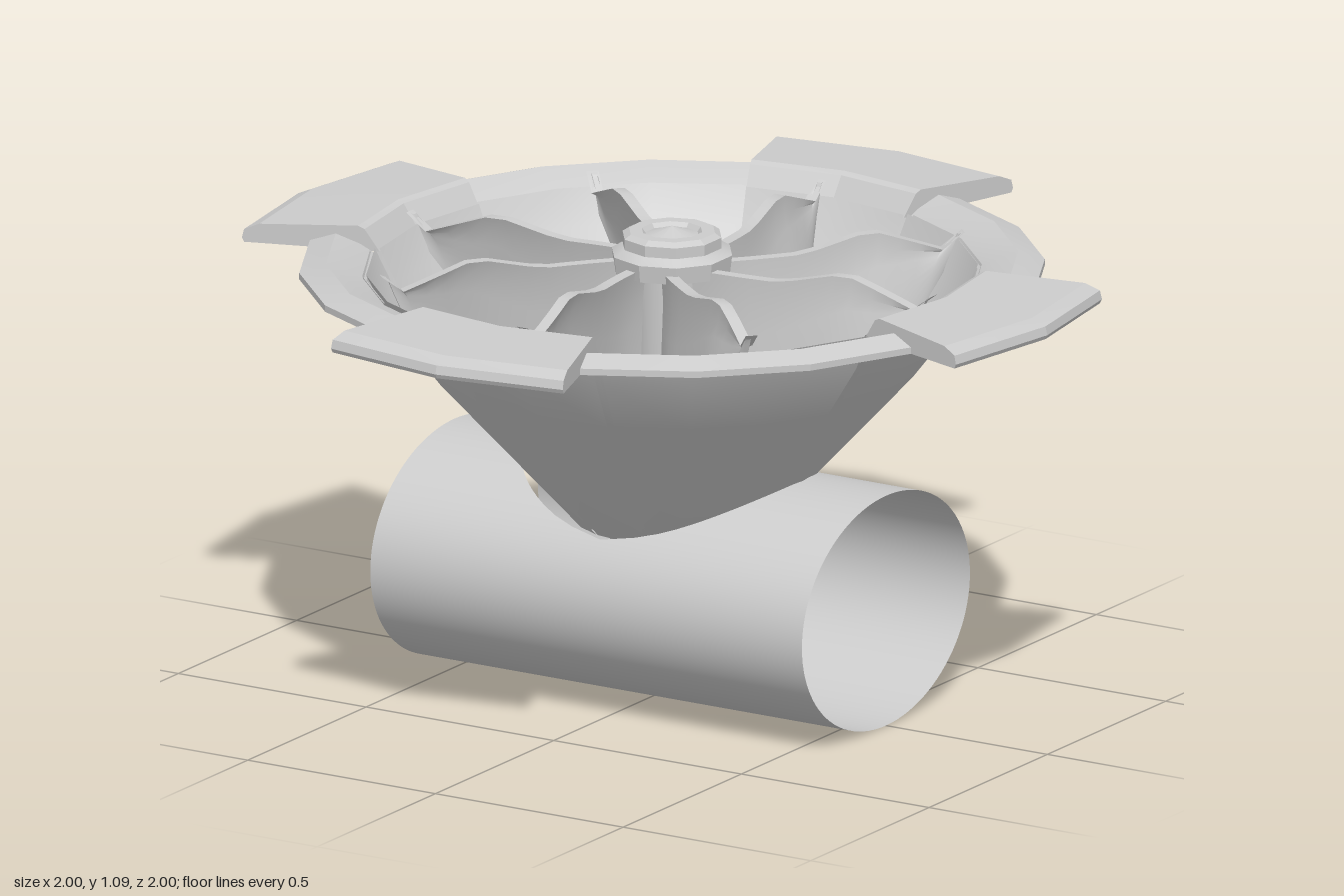
import * as THREE from 'three';
import { toCreasedNormals } from 'three/addons/utils/BufferGeometryUtils.js';

const RAD = Math.PI / 180;
const mat = new THREE.MeshStandardMaterial({ color: 0xcccccc, side: THREE.DoubleSide });

// Bowl wall, bottom to top, as [radius, height]
const WALL = [[0.22, 0.4], [0.56, 0.77], [0.66, 0.9], [0.7, 0.98]];

// Linear lookup in a list of [key, value] pairs
function lookup(list, k) {
  for (let i = 1; i < list.length; i++) {
    const [a, va] = list[i - 1], [b, vb] = list[i];
    if (k <= b) return va + (vb - va) * THREE.MathUtils.clamp((k - a) / (b - a), 0, 1);
  }
  return list[list.length - 1][1];
}

function add(parent, name, geometry) {
  const mesh = new THREE.Mesh(geometry, mat);
  mesh.name = name;
  parent.add(mesh);
  return mesh;
}

// Part of a turned shape between two angles, measured from +z
function sector(profile, segments, start = 0, sweep = 360, crease = 25) {
  const pts = profile.map(([x, y]) => new THREE.Vector2(x, y));
  return toCreasedNormals(new THREE.LatheGeometry(pts, segments, start * RAD, sweep * RAD), crease * RAD);
}

// Flat end faces that close a turned sector
function endCaps(parent, name, profile, angles) {
  const shape = new THREE.Shape(profile.map(([x, y]) => new THREE.Vector2(x, y)));
  for (const a of angles) add(parent, name, new THREE.ShapeGeometry(shape)).rotation.y = (a - 90) * RAD;
}

// Half of the oval cross pipe, its inner edge cut by the opening for the bowl
function halfPipe() {
  const ry = 0.27, rz = 0.355;
  const g = new THREE.PlaneGeometry(1, 1, 12, 96);
  const p = g.attributes.position, n = g.attributes.normal;
  const normal = new THREE.Vector3();
  for (let i = 0; i < p.count; i++) {
    const t = p.getY(i) * 2 * Math.PI, u = p.getX(i) + 0.5;
    const y = ry + ry * Math.cos(t), z = rz * Math.sin(t);
    const inner = y > ry ? 0.35 * Math.sqrt(Math.max(0, 1 - (z / 0.29) ** 2)) : 0;
    p.setXYZ(i, inner + (0.575 - inner) * u, y, z);
    normal.set(0, Math.cos(t) / ry, Math.sin(t) / rz).normalize();
    n.setXYZ(i, normal.x, normal.y, normal.z);
  }
  // the sheet runs inside out, so turn the triangles round
  const idx = g.index;
  for (let i = 0; i < idx.count; i += 3) {
    const a = idx.getX(i);
    idx.setX(i, idx.getX(i + 1));
    idx.setX(i + 1, a);
  }
  return g;
}

// Curved, leaning blade with a thicker top edge
function bladeGeometry() {
  const g = new THREE.BoxGeometry(1, 1, 1, 12, 8, 1);
  const p = g.attributes.position;
  const top = [[0.08, 1.005], [0.3, 1.005], [0.46, 1.043], [0.68, 0.965]];
  const lean = [[0, 0.02], [0.15, 0.06], [0.7, 0.075], [1, 0.01]];
  for (let i = 0; i < p.count; i++) {
    const u = p.getX(i) + 0.5, v = p.getY(i) + 0.5;
    const r = 0.08 + 0.6 * u - 0.05 * u * (1 - v);
    const low = Math.max(0.43, lookup(WALL, r + 0.035) + 0.02);
    const high = Math.max(lookup(top, r), low + 0.02);
    const side = 0.03 * Math.cos(Math.PI * u) + lookup(lean, u) * (1 - v);
    p.setXYZ(i, r, low + (high - low) * v, side + p.getZ(i) * (v > 0.9 ? 0.028 : 0.012));
  }
  return toCreasedNormals(g, 35 * RAD);
}

export function createModel() {
  const model = new THREE.Group();
  model.name = 'funnelWithImpeller';

  // Cross pipe
  const pipe = new THREE.Group();
  pipe.name = 'crossPipe';
  pipe.position.x = -0.005;
  const half = halfPipe();
  for (let i = 0; i < 2; i++) add(pipe, 'pipeHalf', half).rotation.y = i * Math.PI;
  model.add(pipe);

  // Bowl: floor, linings and outer panels with narrow seams
  const bowl = new THREE.Group();
  bowl.name = 'bowl';
  add(bowl, 'floor', sector([[0, 0.403], [0.22, 0.403]], 20));
  const inset = d => WALL.map(([r, y]) => [r - d, y + 0.002]);

  // Rim flares out from the wall into a thin lip; wings are solid plates
  const rim = [[0.69, 0.97], [0.725, 0.99], [0.782, 1.01], [0.842, 0.99], [0.842, 0.975],
    [0.79, 0.975], [0.775, 0.995], [0.735, 0.978], [0.7, 0.965]];
  const wing = [[0.68, 0.975], [0.995, 0.975], [1, 0.985], [0.995, 1.005], [0.96, 1.02],
    [0.73, 1.032], [0.715, 1.025], [0.68, 0.975]];
  for (let i = 0; i < 4; i++) {
    const a = i * 90;
    add(bowl, 'narrowLining', sector(inset(0.02), 2, a - 18, 36));
    add(bowl, 'wideLining', sector(inset(0.009), 3, a + 18, 54));
    add(bowl, 'narrowPanel', sector(WALL, 2, a - 17.2, 34.4));
    add(bowl, 'widePanel', sector(WALL, 3, a + 18.8, 52.4));
    add(bowl, 'rim', sector(rim, 3, a + 18, 54, 15));
    add(bowl, 'wing', sector(wing, 2, a - 18, 36, 10));
    endCaps(bowl, 'wingEnd', wing, [a - 18, a + 18]);
  }
  model.add(bowl);

  // Impeller: hub column, stepped cap and eight blades
  const impeller = new THREE.Group();
  impeller.name = 'impeller';
  add(impeller, 'hub', sector([[0, 0.27], [0.14, 0.27], [0.14, 0.43], [0.085, 0.48], [0.085, 1]], 24));
  add(impeller, 'hubCap', sector([[0.085, 0.98], [0.135, 0.985], [0.14, 1.025], [0.115, 1.04], [0.115, 1.065],
    [0.1, 1.075], [0.07, 1.075], [0.062, 1.065], [0.05, 1.068], [0, 1.085]], 10, 0, 360, 20));
  const blade = bladeGeometry();
  for (let i = 0; i < 8; i++) add(impeller, 'blade', blade).rotation.y = i * 45 * RAD;
  model.add(impeller);

  return model;
}
